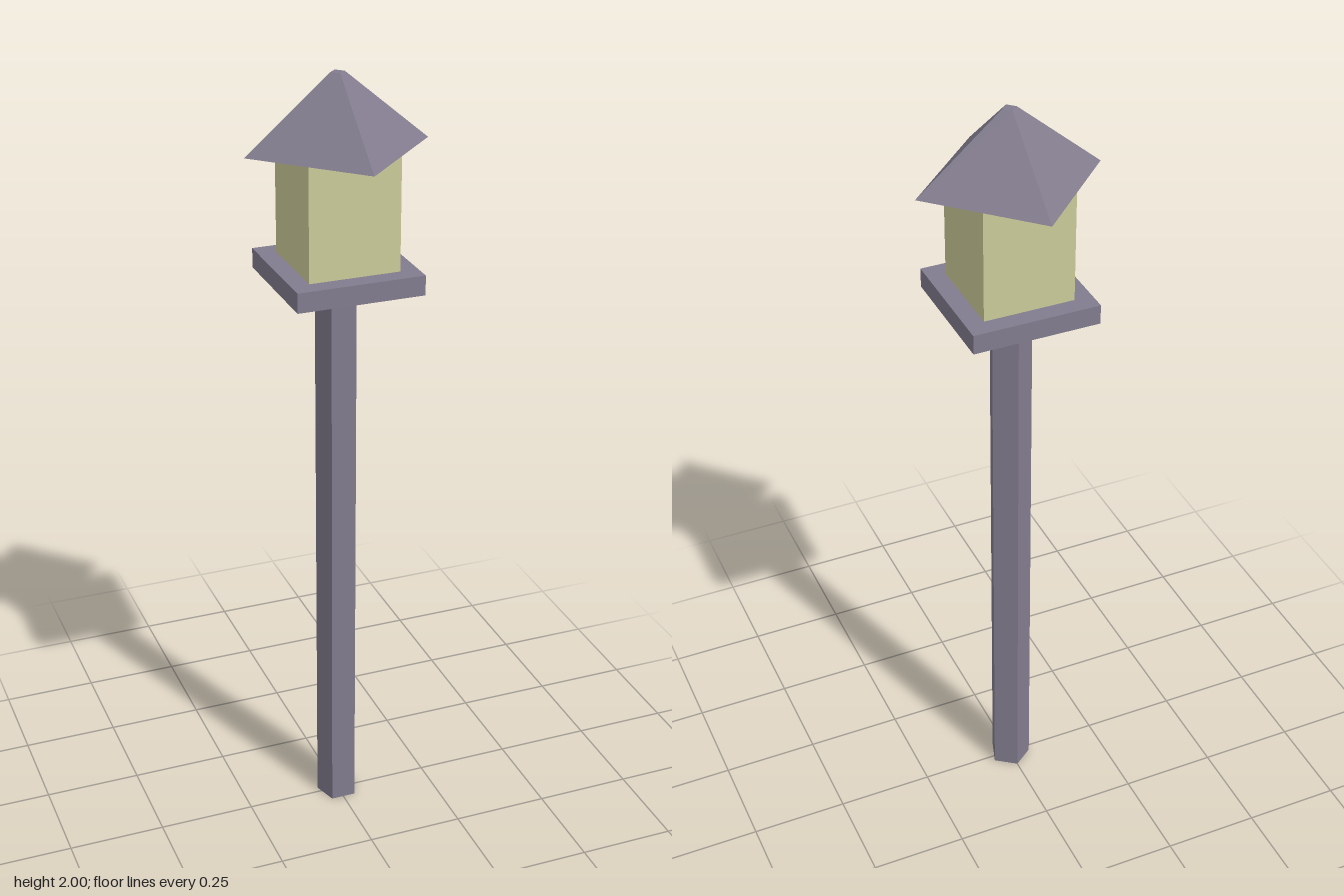
import * as THREE from 'three';

export function createModel() {
  const group = new THREE.Group();
  const slate = new THREE.MeshStandardMaterial({ name: 'slate', color: 0x827c8e, flatShading: true });
  const glow = new THREE.MeshStandardMaterial({ name: 'pale yellow', color: 0xcccc9a, flatShading: true });

  // Adds a part standing on height y
  function add(name, geometry, material, y, height) {
    const mesh = new THREE.Mesh(geometry, material);
    mesh.name = name;
    mesh.position.y = y + height / 2;
    group.add(mesh);
    return mesh;
  }

  // Five-sided post with a flat face to the front
  const post = add('post', new THREE.CylinderGeometry(0.055, 0.055, 1.487, 5), slate, 0, 1.487);
  post.rotation.y = Math.PI;

  // Square platform, lit lantern box and pyramid roof turned corner-on
  add('platform', new THREE.BoxGeometry(0.322, 0.05, 0.322), slate, 1.487, 0.05);
  add('lantern', new THREE.BoxGeometry(0.23, 0.283, 0.23), glow, 1.537, 0.283);
  add('roof', new THREE.CylinderGeometry(0.018, 0.23, 0.18, 4), slate, 1.82, 0.18);

  return group;
}
